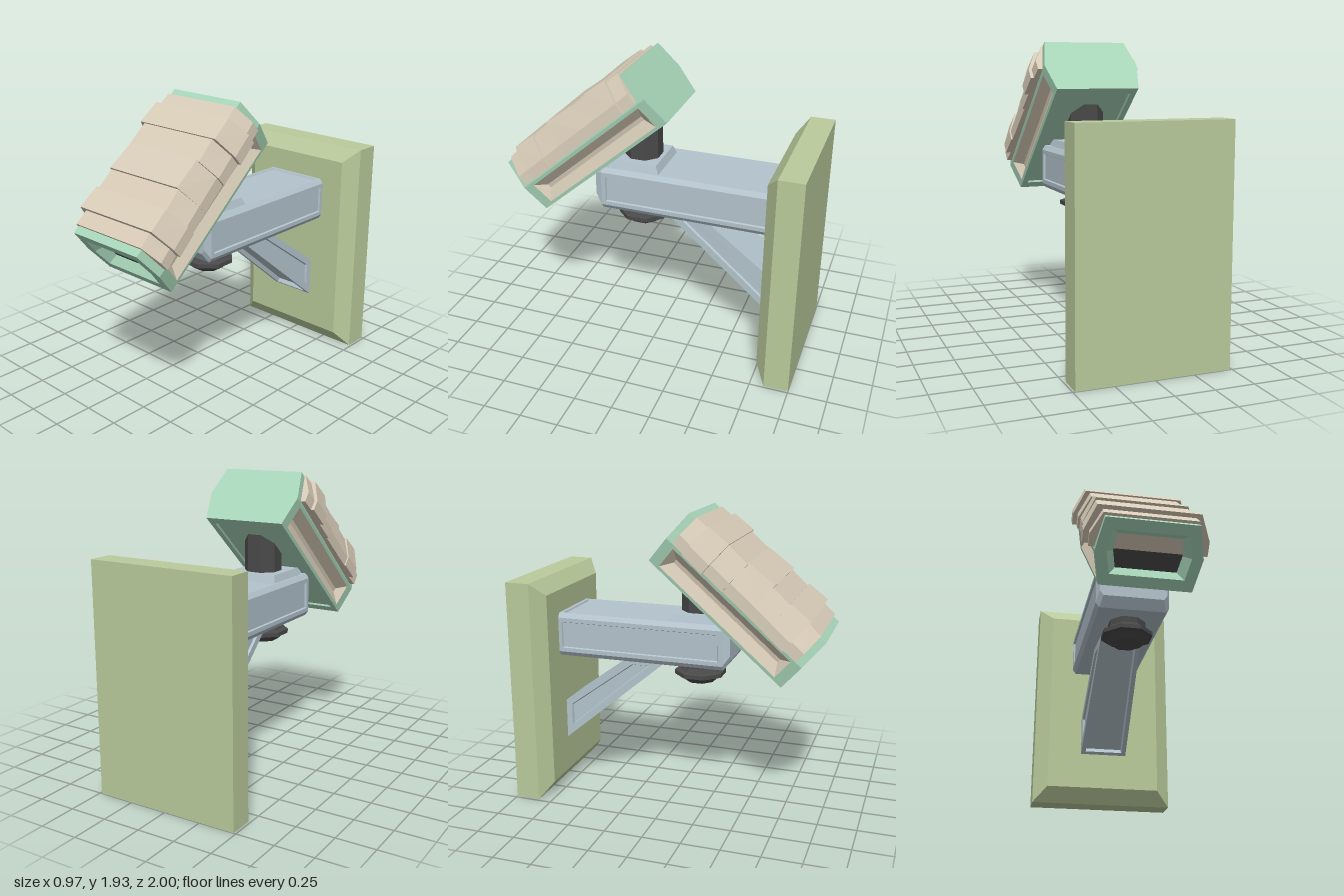
import * as THREE from 'three';

const mat = (color) => new THREE.MeshStandardMaterial({ color, flatShading: true });
const V = (x, y, z) => new THREE.Vector3(x, y, z);
// Ring of points at a given z from [x, y] pairs
const ringZ = (pts, z) => pts.map(([x, y]) => V(x, y, z));
const rectPts = (w, y0, y1) => [[w, y1], [w, y0], [-w, y0], [-w, y1]];

// Shrinks a convex polygon: edge i moves in by m[i % m.length], then sinks by depth
function inset(poly, normal, m, depth) {
  const n = poly.length;
  const inward = poly.map((p, i) => normal.clone().cross(poly[(i + 1) % n].clone().sub(p)).normalize());
  return poly.map((p, i) => {
    const j = (i + n - 1) % n;
    const a = inward[j], b = inward[i], c = a.dot(b), d = 1 - c * c;
    const ma = m[j % m.length], mb = m[i % m.length];
    return p.clone()
      .addScaledVector(a, (ma - c * mb) / d)
      .addScaledVector(b, (mb - c * ma) / d)
      .addScaledVector(normal, -depth);
  });
}

// Convex solid lofted through rings. panels maps a face ("segment:side", "start" or "end")
// to steps [margins, depth, material] that carve a recess into it.
function loft(name, rings, base, panels = {}) {
  const group = new THREE.Group();
  group.name = name;
  const all = rings.flat();
  const centre = all.reduce((s, p) => s.add(p), V(0, 0, 0)).divideScalar(all.length);
  const byMat = new Map();
  const fan = (poly, m) => {
    if (!byMat.has(m)) byMat.set(m, []);
    for (let i = 1; i < poly.length - 1; i++) byMat.get(m).push(poly[0], poly[i], poly[i + 1]);
  };
  const face = (poly, steps = []) => {
    const normal = poly[1].clone().sub(poly[0]).cross(poly[2].clone().sub(poly[0])).normalize();
    if (normal.dot(poly[0].clone().sub(centre)) < 0) {
      poly = [...poly].reverse();
      normal.negate();
    }
    let last = base;
    for (const [m, depth, material] of steps) {
      const inner = inset(poly, normal, m, depth);
      poly.forEach((p, i) => {
        const k = (i + 1) % poly.length;
        fan([p, poly[k], inner[k], inner[i]], last);
      });
      poly = inner;
      last = material || last;
    }
    fan(poly, last);
  };
  for (let s = 0; s < rings.length - 1; s++) {
    const a = rings[s], b = rings[s + 1];
    a.forEach((p, i) => {
      const k = (i + 1) % a.length;
      face([p, a[k], b[k], b[i]], panels[`${s}:${i}`]);
    });
  }
  face(rings[0], panels.start);
  face(rings[rings.length - 1], panels.end);
  for (const [m, pts] of byMat) {
    const g = new THREE.BufferGeometry().setFromPoints(pts);
    g.computeVertexNormals();
    const mesh = new THREE.Mesh(g, m);
    mesh.name = name + 'Surface';
    group.add(mesh);
  }
  return group;
}

export function createModel() {
  const model = new THREE.Group();
  model.name = 'wallLamp';
  const olive = mat(0xbacb9c), steel = mat(0xb3c3cc), mint = mat(0xa8d6b9);
  const tan = mat(0xd8ccb8), dark = mat(0x4a4a4a);

  // Wall plate with bevelled front
  const plate = rectPts(0.485, 0, 1.48);
  model.add(loft('wallPlate', [
    ringZ(plate, -1), ringZ(plate, -0.84), ringZ(rectPts(0.39, 0.1, 1.39), -0.765),
  ], olive));

  // Horizontal arm: chamfered beam with sunken panels and a bevelled nose
  const beam = (w, y0, y1, cx, cy) => [
    [w, y1 - cy], [w, y0 + cy], [w - cx, y0], [cx - w, y0],
    [-w, y0 + cy], [-w, y1 - cy], [cx - w, y1], [w - cx, y1],
  ];
  const full = beam(0.235, 0.95, 1.24, 0.022, 0.03);
  const sunk = [[[0.027], 0], [[0.005], 0.012]];
  model.add(loft('arm', [
    ringZ(full, -0.77), ringZ(full, 0.355), ringZ(beam(0.215, 1.015, 1.225, 0.022, 0.03), 0.4),
  ], steel, { '0:0': sunk, '0:4': sunk, '0:6': [[[0.027, 0.014], 0], [[0.005], 0.012]] }));

  // Saddle under the swivel post
  const saddle = (w, y, z0, z1) => [V(w, y, z1), V(w, y, z0), V(-w, y, z0), V(-w, y, z1)];
  model.add(loft('saddle', [saddle(0.185, 1.22, -0.02, 0.36), saddle(0.165, 1.28, 0.005, 0.34)], steel));

  // Diagonal brace, wider at the wall, recessed on the sides and underneath
  const side = (s) => [[-0.04, 0.952, 0.135], [-0.77, 0.337, 0.16], [-0.77, 0.607, 0.16], [-0.3, 0.952, 0.144]]
    .map(([z, y, x]) => V(s * x, y, z));
  const braceSide = [[[0.045], 0], [[0.006], 0.015]];
  model.add(loft('brace', [side(1), side(-1)], steel, {
    start: braceSide, end: braceSide, '0:0': [[[0.03], 0], [[0.006], 0.03]],
  }));

  // Octagonal swivel post with flanged nut
  const profile = [
    [0, 0.805], [0.1, 0.805], [0.128, 0.83], [0.14, 0.842], [0.17, 0.85], [0.17, 0.877],
    [0.14, 0.885], [0.13, 0.9], [0.124, 0.91], [0.124, 1.53], [0, 1.53],
  ].map(([r, y]) => new THREE.Vector2(r, y));
  const post = new THREE.Mesh(new THREE.LatheGeometry(profile, 8, Math.PI / 8), dark);
  post.name = 'swivelPost';
  post.position.z = 0.146;
  model.add(post);

  // Tilted head: hexagonal housing with side windows, lens recess and base panel
  const head = new THREE.Group();
  head.name = 'head';
  head.position.set(0, 1.4175, 0.445);
  head.rotation.x = 0.713;
  const hex = [[0.28, 0.198], [0.322, 0], [0.28, -0.198], [-0.28, -0.198], [-0.322, 0], [-0.28, 0.198]];
  const sideWindow = [[[0.072, 0.022], 0, tan], [[0.05, 0.065], 0.045]];
  head.add(loft('housing', [ringZ(hex, -0.562), ringZ(hex, 0.562)], mint, {
    '0:1': sideWindow,
    '0:3': sideWindow,
    '0:2': [[[0.06, 0.04], 0], [[0.006], 0.012]],
    end: [[[0.068], 0], [[0.045, 0.045, 0.03], 0.06, dark]],
  }));

  // Overlapping cover slats: [start, end, start height, end height, half width]
  const slats = [
    [-0.51, -0.405, 0.215, 0.22, 0.355], [-0.41, -0.25, 0.245, 0.238, 0.382],
    [-0.255, -0.105, 0.225, 0.232, 0.366], [-0.11, 0.1, 0.248, 0.234, 0.36],
    [0.095, 0.26, 0.225, 0.23, 0.366], [0.255, 0.42, 0.24, 0.232, 0.386],
    [0.415, 0.51, 0.215, 0.215, 0.358],
  ];
  const slatRing = (w, h, u) => ringZ([[w - 0.068, h], [w, 0.085], [w, 0.012], [-w, 0.012], [-w, 0.085], [0.068 - w, h]], -u);
  slats.forEach(([u0, u1, h0, h1, w]) =>
    head.add(loft('coverSlat', [slatRing(w, h0, u0), slatRing(w - 0.008, h1, u1)], tan)));
  model.add(head);
  return model;
}
